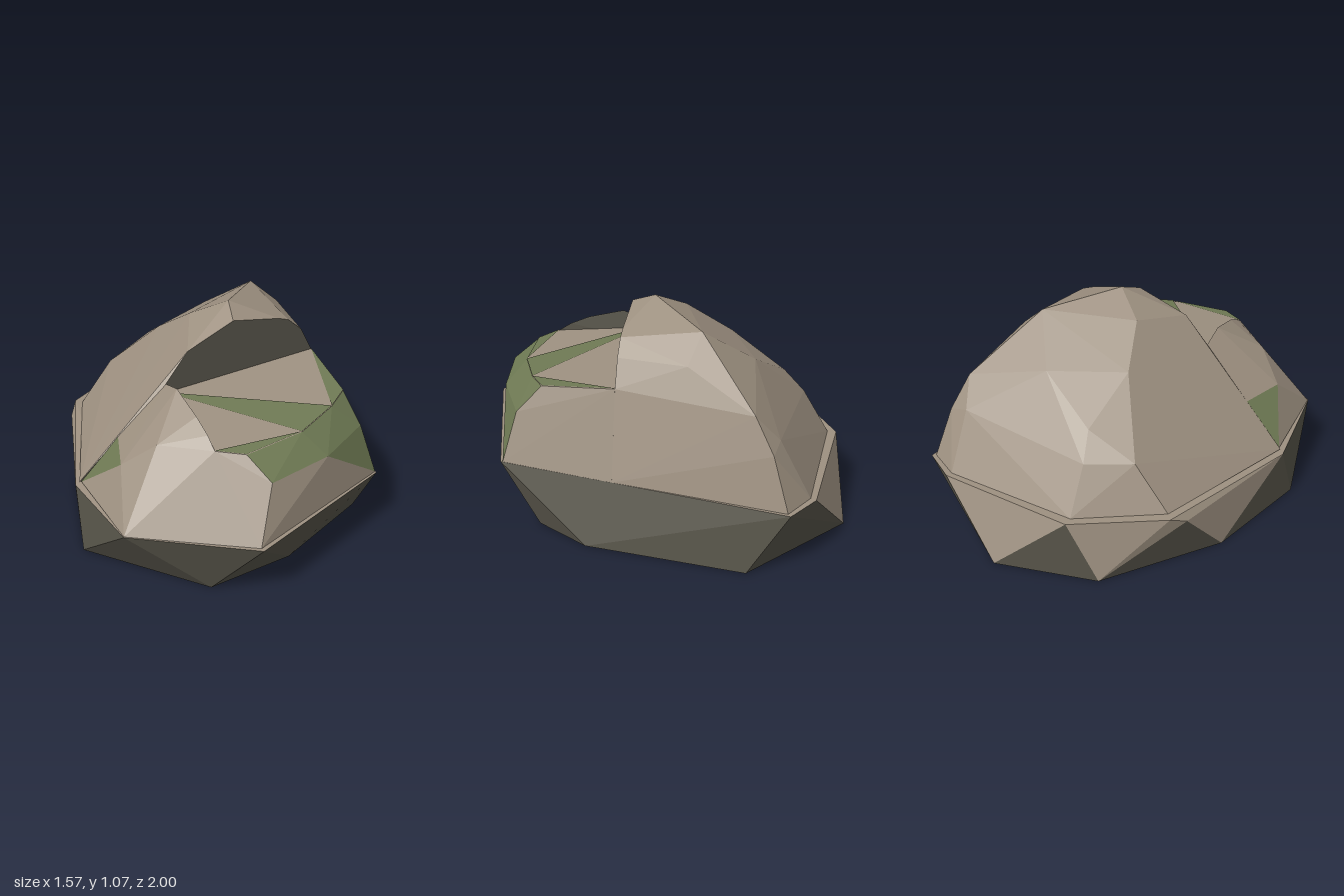
import * as THREE from 'three';
import { ConvexGeometry } from 'three/addons/geometries/ConvexGeometry.js';

const V = (p) => new THREE.Vector3(...p);

export function createModel() {
  const group = new THREE.Group();
  const mat = (name, color) => {
    const m = new THREE.MeshStandardMaterial({ color, flatShading: true });
    m.name = name;
    return m;
  };
  const materials = {
    stone: mat('warm stone', 0x9e9181),
    dark: mat('dark stone', 0x58554a),
    moss: mat('moss', 0x6f7a54),
  };

  // Facetted boulder: a convex block whose triangles are sorted into colours by a rule
  function boulder(name, points, colourOf) {
    const pos = new ConvexGeometry(points.map(V)).getAttribute('position');
    const sorted = { stone: [], dark: [], moss: [] };
    const tri = new THREE.Triangle();
    const n = new THREE.Vector3();
    const c = new THREE.Vector3();
    for (let i = 0; i < pos.count; i += 3) {
      tri.setFromAttributeAndIndices(pos, i, i + 1, i + 2);
      tri.getNormal(n);
      tri.getMidpoint(c);
      for (const v of [tri.a, tri.b, tri.c]) sorted[colourOf(n, c)].push(v.x, v.y, v.z);
    }
    const part = new THREE.Group();
    part.name = name;
    for (const key in sorted) {
      if (sorted[key].length) part.add(faces(name + ' ' + key, sorted[key], materials[key]));
    }
    group.add(part);
  }

  function faces(name, coords, material) {
    const g = new THREE.BufferGeometry();
    g.setAttribute('position', new THREE.Float32BufferAttribute(coords, 3));
    g.computeVertexNormals();
    const mesh = new THREE.Mesh(g, material);
    mesh.name = name;
    return mesh;
  }

  const at = (y, list) => list.map(([x, z]) => [x, y, z]);
  const LEDGE = 0.32;

  // Base: undercut foot with a narrow ledge on top
  boulder('base', [
    ...at(0, [[-0.04, 0.86], [0.34, 0.64], [0.71, 0.22], [0.72, -0.09], [0.43, -0.82],
      [-0.22, -0.97], [-0.62, -0.64], [-0.76, 0], [-0.66, 0.57]]),
    ...at(LEDGE, [[0.19, 1], [0.78, 0.4], [0.33, -0.98], [0.14, -1], [-0.51, -0.74],
      [-0.77, -0.34], [-0.43, 0.89]]),
    [-0.785, 0.28, -0.25], [-0.69, 0.3, 0.45],
  ], (n, c) => (n.y > 0.5 || (c.y > 0.15 && n.x < -0.2 && n.z < 0.3) ? 'stone' : 'dark'));

  // Shelf floor is one gently tilted plane
  const floorY = (x, z) => 0.756 - 0.034 * x - 0.11 * z;
  const onFloor = ([x, z], lift = 0) => [x, floorY(x, z) + lift, z];
  const inner = [-0.25, 0.31], back = [0.49, -0.1], side = [0.61, 0.26];
  const rim = [0.54, 0.39], corner = [0.38, 0.59], lip = [0.12, 0.76], front = [-0.02, 0.74];

  // Shelf block with a mossy band under its rim
  boulder('shelf', [
    ...at(LEDGE, [[-0.43, 0.885], [0.18, 0.98], [0.775, 0.39], [0.597, -0.16], [-0.25, 0.31]]),
    ...at(0.57, [[0.23, 0.84], [0.5, 0.63], [0.69, 0.36]]),
    ...[inner, back, side, rim, corner, lip, front].map((p) => onFloor(p)),
  ], (n, c) => {
    const band = c.y > 0.58 && n.y < 0.85 && c.x > 0.15 && n.z > 0.3;
    const drip = c.y > 0.45 && c.x > 0.62 && n.z > 0.35;
    return band || drip ? 'moss' : 'stone';
  });

  // Moss patches lying on the shelf floor
  const patches = [[inner, corner, rim], [front, lip, corner], [back, rim, side]];
  group.add(faces('shelf moss', patches.flat().flatMap((p) => onFloor(p, 0.004)), materials.moss));

  // Dome: tall rear mass, cut off by a vertical dark wall behind the shelf
  const wallZ = (x) => (0.15 - 0.485 * x) / 0.875;
  const wall = [[-0.25, 0.77], [-0.14, 0.92], [0.08, 1.02], [0.31, 0.97], [0.36, 0.95],
    [0.43, 0.88], [0.49, 0.75], [0.597, LEDGE], [-0.25, LEDGE]];
  boulder('dome', [
    ...wall.map(([x, y]) => [x, y, wallZ(x)]),
    ...at(LEDGE, [[-0.67, 0.45], [-0.73, -0.32], [-0.49, -0.7], [0.14, -0.97], [0.32, -0.96]]),
    [0.06, 1.07, 0], [0.19, 1.01, -0.38], [-0.13, 0.98, -0.05], [-0.29, 0.83, -0.22],
    [0.33, 0.89, -0.4], [0.29, 0.73, -0.75], [0.3, 0.57, -0.86], [0.2, 0.6, -0.83],
    [-0.05, 0.83, -0.52], [-0.36, 0.66, -0.5], [-0.43, 0.54, -0.58], [-0.57, 0.54, -0.39],
  ], (n) => (n.x * 0.485 + n.z * 0.875 > 0.97 ? 'dark' : 'stone'));

  // Hump: low shoulder on the front, with one mossy flank
  boulder('hump', [
    ...at(LEDGE, [[-0.66, 0.45], [-0.43, 0.885], [-0.25, 0.31], [-0.02, 0.74]]),
    [-0.57, 0.54, -0.39], [-0.45, 0.53, 0.62], [-0.28, 0.66, 0.66],
    [-0.25, 0.77, 0.31], [-0.19, 0.815, 0.42], [-0.1, 0.765, 0.59], [-0.05, 0.72, 0.68],
    onFloor(front),
  ], (n, c) => {
    if (n.x * 0.88 - n.z * 0.47 > 0.97) return 'dark';
    return n.x < -0.5 && n.z < 0.3 && c.x < -0.5 ? 'moss' : 'stone';
  });

  return group;
}
